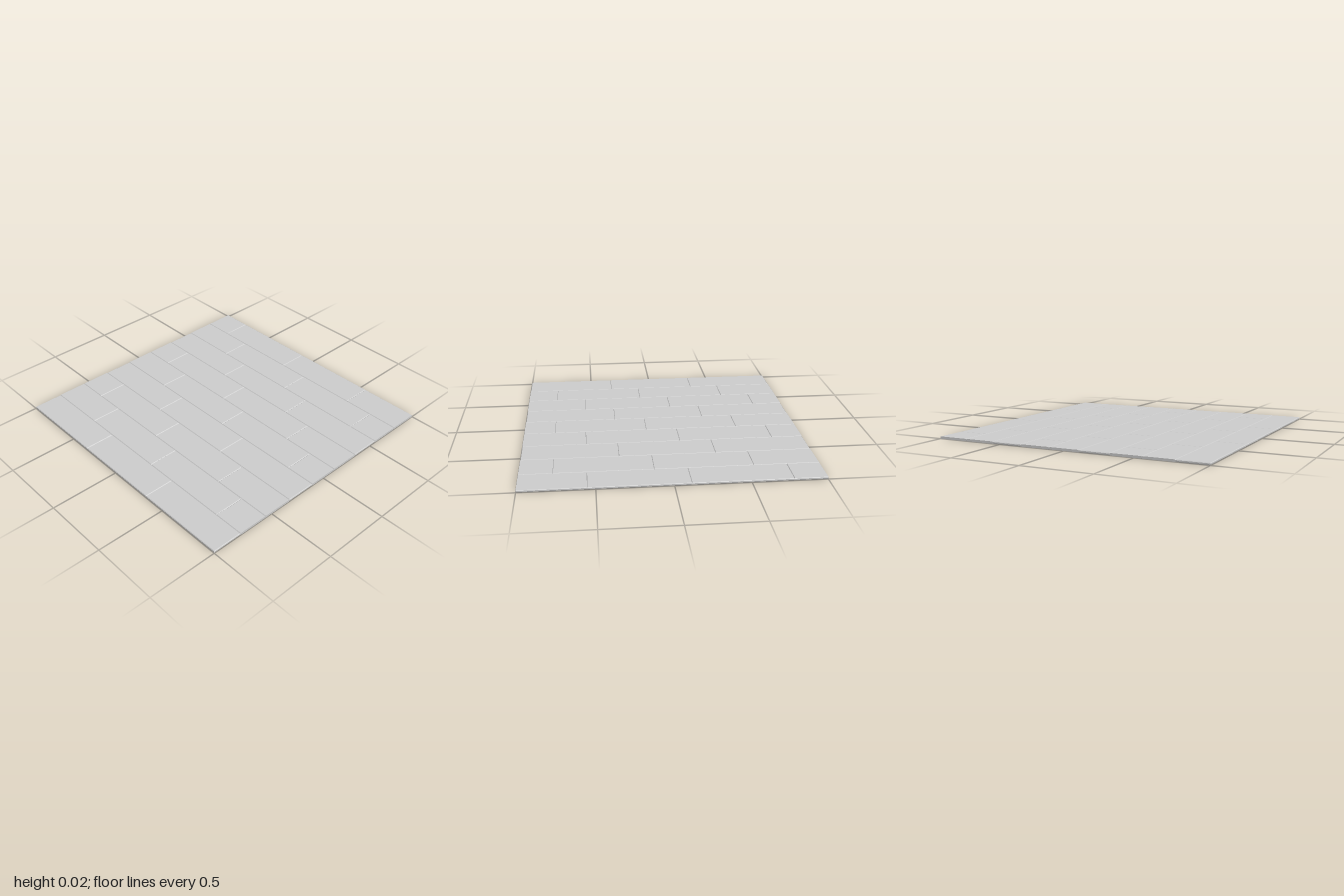
import * as THREE from 'three';

const HEIGHT = 0.016, BEVEL = 0.004, ROWS = 9, LENGTH = 2 / 3;

// Slab with chamfered rims; an end that is cut off at the border stays square
function plankGeometry(x0, x1, depth, cutLeft, cutRight) {
  const w = x1 - x0;
  const geo = new THREE.BoxGeometry(w, HEIGHT, depth, 1, 3, 1);
  const p = geo.attributes.position;
  for (let i = 0; i < p.count; i++) {
    const x = p.getX(i), y = p.getY(i), z = p.getZ(i);
    if (Math.abs(y) > HEIGHT * 0.4) {
      const cut = x < 0 ? cutLeft : cutRight;
      if (!cut) p.setX(i, x - Math.sign(x) * BEVEL);
      p.setZ(i, z - Math.sign(z) * BEVEL);
    } else {
      p.setY(i, Math.sign(y) * (HEIGHT / 2 - BEVEL));
    }
  }
  const flat = geo.toNonIndexed();
  flat.computeVertexNormals();
  return flat;
}

export function createModel() {
  const group = new THREE.Group();
  group.name = 'plankFloor';
  const material = new THREE.MeshStandardMaterial({ color: 0xcccccc, flatShading: true });
  const depth = 2 / ROWS;

  // Rows run from back to front, each shifted by a third of a plank
  for (let r = 0; r < ROWS; r++) {
    const row = new THREE.Group();
    row.name = `plankRow${r + 1}`;
    const start = -1 - LENGTH + ((r % 3) + 1) * LENGTH / 3;
    for (let k = 0; k < 4; k++) {
      const a = start + k * LENGTH, b = a + LENGTH;
      const x0 = Math.max(a, -1), x1 = Math.min(b, 1);
      if (x1 - x0 < 0.01) continue;
      const plank = new THREE.Mesh(
        plankGeometry(x0, x1, depth, a < -1.001, b > 1.001), material);
      plank.name = 'plank';
      plank.position.set((x0 + x1) / 2, HEIGHT / 2, -1 + (r + 0.5) * depth);
      row.add(plank);
    }
    group.add(row);
  }
  return group;
}
